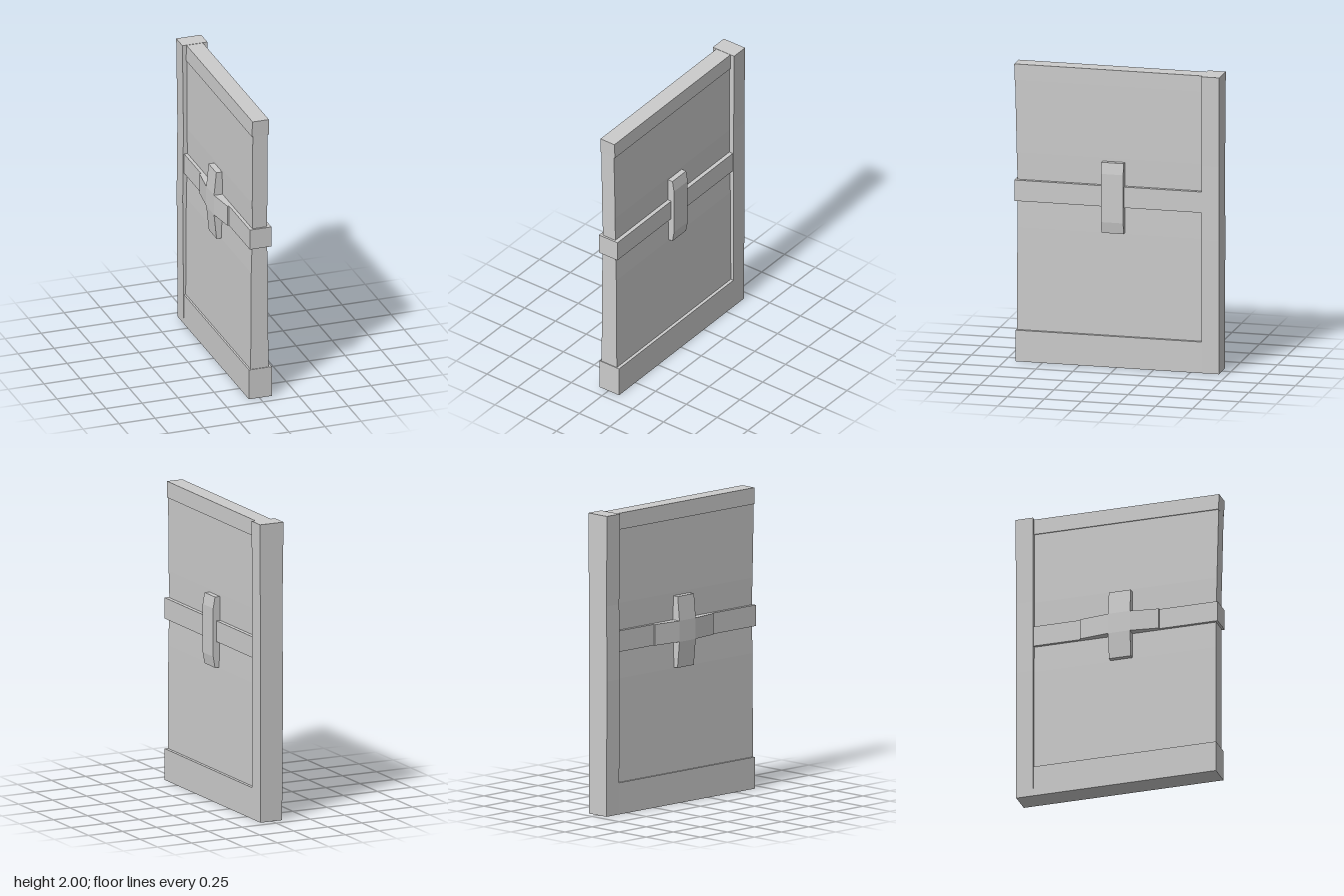
import * as THREE from 'three';

const material = new THREE.MeshStandardMaterial({ color: 0xcccccc, flatShading: true });

// Four-sided block lofted upward through sections [y, x0, x1, z0, z1]
function loft(name, sections) {
  const rings = sections.map(([y, x0, x1, z0, z1]) =>
    [[x0, y, z0], [x0, y, z1], [x1, y, z1], [x1, y, z0]]);
  const positions = [];
  const quad = (a, b, c, d) => positions.push(...a, ...b, ...c, ...a, ...c, ...d);
  for (let i = 0; i < rings.length - 1; i++) {
    for (let j = 0; j < 4; j++) {
      const k = (j + 1) % 4;
      quad(rings[i][j], rings[i][k], rings[i + 1][k], rings[i + 1][j]);
    }
  }
  quad(...rings[rings.length - 1]);
  quad(...rings[0].slice().reverse());
  const geometry = new THREE.BufferGeometry();
  geometry.setAttribute('position', new THREE.Float32BufferAttribute(positions, 3));
  geometry.computeVertexNormals();
  const mesh = new THREE.Mesh(geometry, material);
  mesh.name = name;
  return mesh;
}

export function createModel() {
  const door = new THREE.Group();
  door.name = 'door';

  // Thin panel, slightly waisted and flaring at the top
  door.add(loft('panel', [
    [0.1, -0.06, 0.065, -0.6, 0.675],
    [0.9, -0.055, 0.06, -0.6, 0.675],
    [1.2, -0.047, 0.052, -0.6, 0.675],
    [1.4, -0.05, 0.055, -0.6, 0.68],
    [1.95, -0.05, 0.053, -0.6, 0.693],
  ]));

  // Frame: hinge post, bottom rail and top rail
  door.add(loft('hingePost', [
    [0, -0.073, 0.086, -0.692, -0.575],
    [0.9, -0.08, 0.087, -0.692, -0.575],
    [1.4, -0.075, 0.087, -0.692, -0.575],
    [2, -0.082, 0.091, -0.695, -0.575],
  ]));
  door.add(loft('bottomRail', [
    [0, -0.073, 0.086, -0.69, 0.68],
    [0.21, -0.072, 0.086, -0.6, 0.68],
  ]));
  door.add(loft('topRail', [
    [1.89, -0.057, 0.062, -0.6, 0.692],
    [1.998, -0.053, 0.06, -0.6, 0.696],
  ]));

  // Strap across the middle, wrapping the free edge
  door.add(loft('strap', [
    [1.08, -0.07, 0.08, -0.6, 0.69],
    [1.22, -0.07, 0.08, -0.6, 0.69],
  ]));

  // Upright plates with bevelled ends on both faces
  door.add(loft('leftPlate', [
    [0.905, 0.04, 0.09, -0.05, 0.1],
    [0.98, 0.04, 0.103, -0.05, 0.1],
    [1.305, 0.04, 0.103, -0.05, 0.1],
    [1.38, 0.04, 0.09, -0.05, 0.1],
  ]));
  door.add(loft('rightPlate', [
    [0.905, -0.088, -0.04, -0.05, 0.1],
    [1.08, -0.106, -0.04, -0.05, 0.1],
    [1.22, -0.106, -0.04, -0.05, 0.1],
    [1.38, -0.09, -0.04, -0.05, 0.1],
  ]));

  // Tapered cross arms on the right face, lofted along z
  const arms = loft('rightCrossArms', [
    [-0.25, -0.081, -0.04, -1.22, -1.08],
    [-0.05, -0.106, -0.04, -1.22, -1.08],
    [0.1, -0.106, -0.04, -1.22, -1.08],
    [0.29, -0.081, -0.04, -1.22, -1.08],
  ]);
  arms.rotation.x = Math.PI / 2;
  door.add(arms);

  return door;
}
